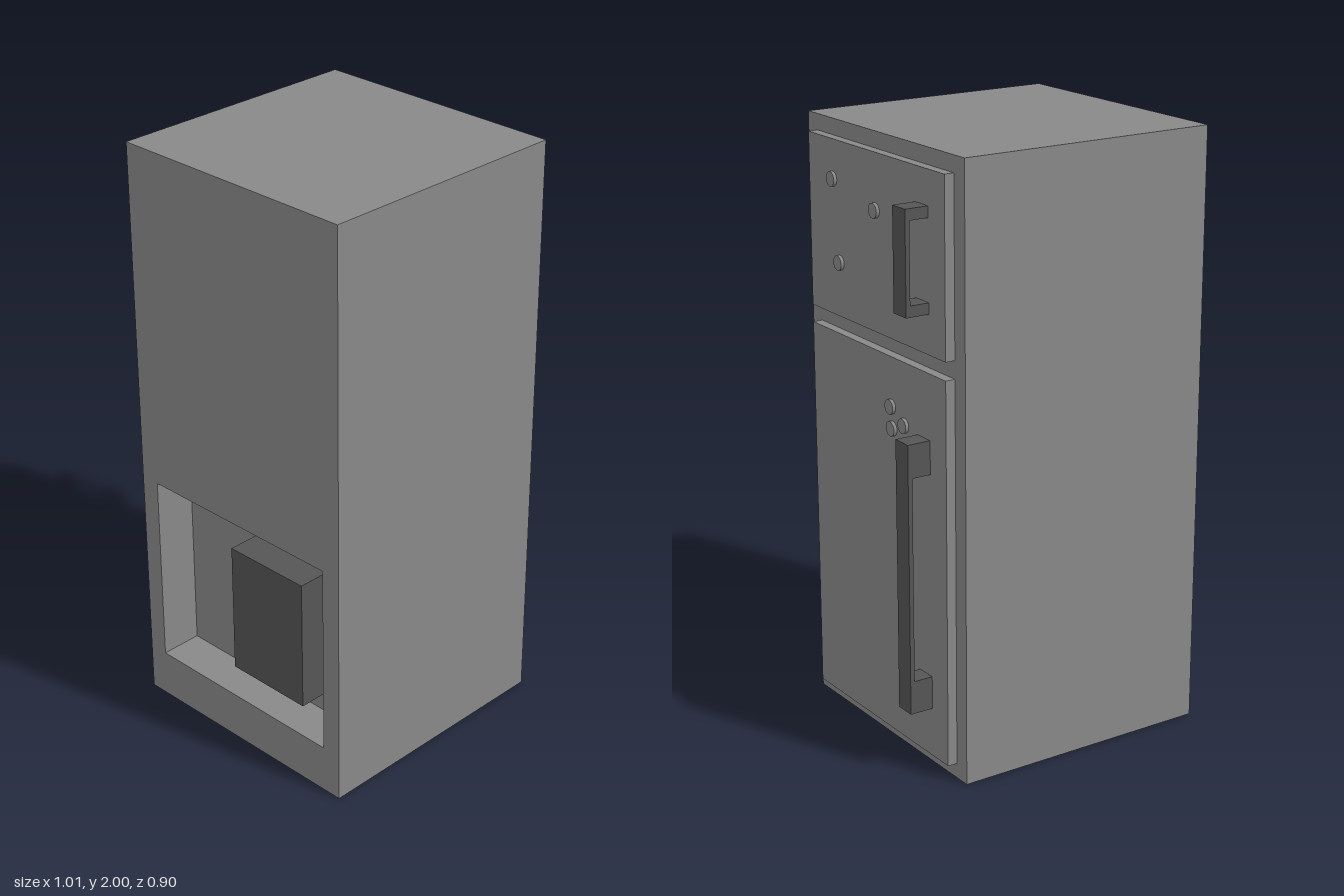
import * as THREE from 'three';

export function createModel() {
  const model = new THREE.Group();
  model.name = 'refrigerator';

  const enamel = new THREE.MeshStandardMaterial({ color: 0x888888 });
  enamel.name = 'grey enamel';
  const dark = new THREE.MeshStandardMaterial({ color: 0x555555 });
  dark.name = 'dark grey';

  const add = (name, geometry, material) => {
    const mesh = new THREE.Mesh(geometry, material);
    mesh.name = name;
    model.add(mesh);
    return mesh;
  };

  // Box given by its limits on each axis
  const block = (name, [x0, x1], [y0, y1], [z0, z1], material) =>
    add(name, new THREE.BoxGeometry(x1 - x0, y1 - y0, z1 - z0), material)
      .position.set((x0 + x1) / 2, (y0 + y1) / 2, (z0 + z1) / 2);

  const rect = (Type, x0, x1, y0, y1) => new Type([
    new THREE.Vector2(x0, y0), new THREE.Vector2(x1, y0),
    new THREE.Vector2(x1, y1), new THREE.Vector2(x0, y1),
  ]);

  const back = -0.507, recess = -0.362, face = 0.392, doorFace = 0.425;

  // Cabinet: solid main part plus a rear frame around the compressor recess
  block('cabinet', [recess, face], [0, 2], [-0.449, 0.449], enamel);
  const frame = rect(THREE.Shape, -0.449, 0.449, 0, 2);
  frame.holes.push(rect(THREE.Path, -0.38, 0.38, 0.165, 0.832));
  const frameGeometry = new THREE.ExtrudeGeometry(frame, { depth: recess - back, bevelEnabled: false });
  frameGeometry.rotateY(-Math.PI / 2);
  add('rearFrame', frameGeometry, enamel).position.x = recess;

  // Compressor box on the wall of the recess
  block('compressor', [recess, -0.485], [0.258, 0.716], [-0.054, 0.265], dark);
  const compressor = model.getObjectByName('compressor');
  compressor.geometry = new THREE.BoxGeometry(0.123, 0.458, 0.319);

  // Doors
  block('freezerDoor', [face, doorFace], [1.38, 1.947], [-0.393, 0.393], enamel);
  block('fridgeDoor', [face, doorFace], [0.05, 1.322], [-0.393, 0.393], enamel);

  // Bracket handles: a thin grip with an arm at each end
  const handle = (name, y0, y1, arm) => {
    const outer = 0.505, inner = 0.49;
    const profile = new THREE.Shape([
      [doorFace, y0], [outer, y0], [outer, y1], [doorFace, y1],
      [doorFace, y1 - arm], [inner, y1 - arm], [inner, y0 + arm], [doorFace, y0 + arm],
    ].map(([x, y]) => new THREE.Vector2(x, y)));
    const geometry = new THREE.ExtrudeGeometry(profile, { depth: 0.07, bevelEnabled: false });
    add(name, geometry, dark).position.z = -0.304;
  };
  handle('freezerHandle', 1.507, 1.837, 0.036);
  handle('fridgeHandle', 0.215, 1.11, 0.11);

  // Round magnets on the doors, placed by height and z
  const disc = new THREE.CylinderGeometry(0.024, 0.024, 0.012, 32);
  disc.rotateZ(-Math.PI / 2);
  [
    [1.82, 0.246], [1.767, -0.006], [1.557, 0.212],
    [1.16, -0.084], [1.118, -0.159], [1.09, -0.09],
  ].forEach(([y, z], i) => {
    add(`magnet${i + 1}`, disc, enamel).position.set(doorFace + 0.005, y, z);
  });

  return model;
}
